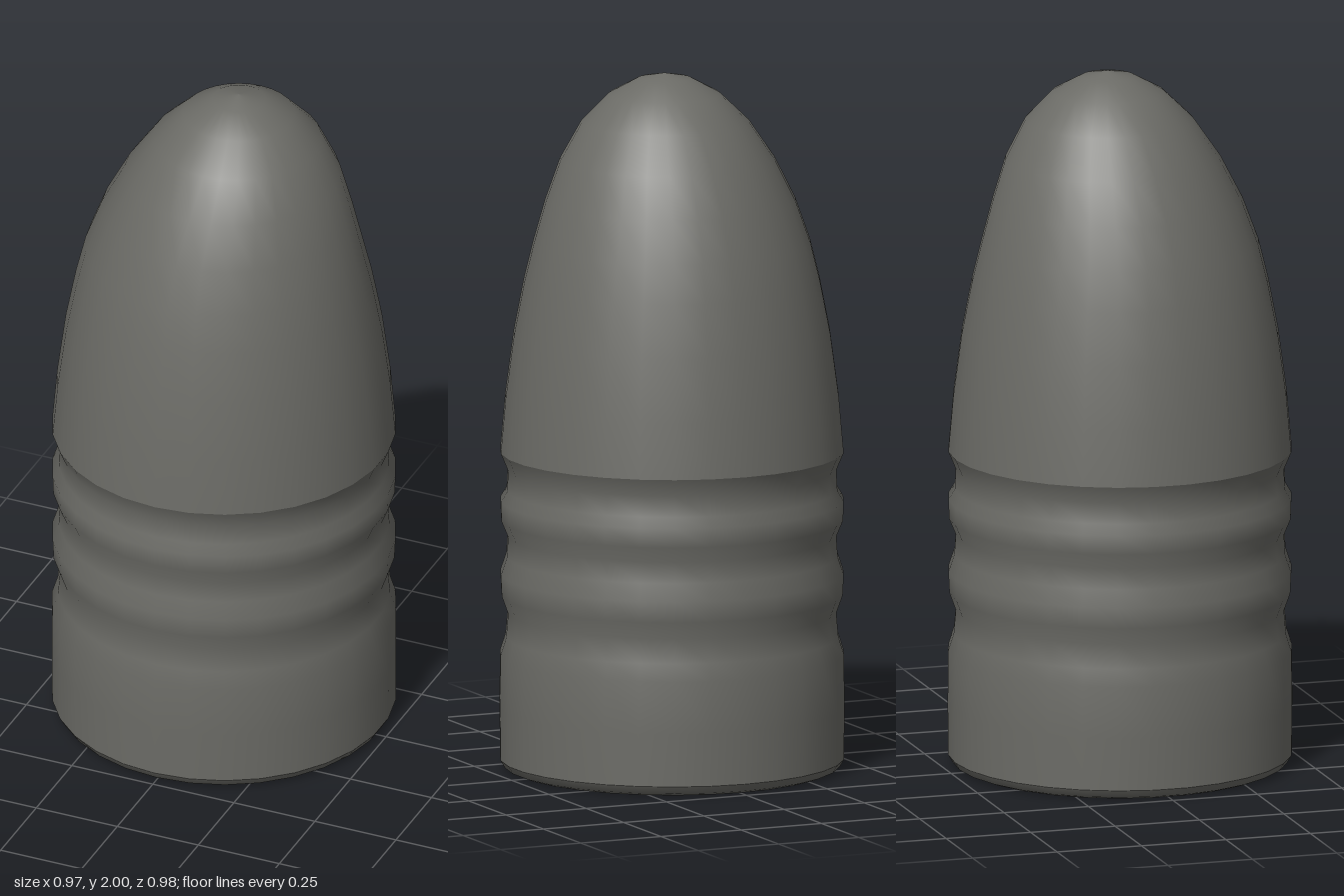
import * as THREE from 'three';

const SEGMENTS = 30;

export function createModel() {
  const lead = new THREE.MeshStandardMaterial({ color: 0x6b6b66 });
  lead.name = 'dull lead grey';
  const model = new THREE.Group();
  model.name = 'groovedSlug';

  // Revolve a profile of [radius, height] pairs; the tip leans slightly off axis
  function addLathe(name, profile) {
    const geometry = new THREE.LatheGeometry(
      profile.map(([r, y]) => new THREE.Vector2(r, y)), SEGMENTS);
    const p = geometry.attributes.position;
    for (let i = 0; i < p.count; i++) {
      const lean = THREE.MathUtils.smoothstep(p.getY(i), 1.5, 1.95);
      p.setX(i, p.getX(i) + 0.035 * lean);
      p.setZ(i, p.getZ(i) - 0.025 * lean);
    }
    const mesh = new THREE.Mesh(geometry, lead);
    mesh.name = name;
    model.add(mesh);
  }

  // Shallow conical hollow in the base
  addLathe('baseHollowFloor', [[0, 0.09], [0.17, 0.08], [0.33, 0.06]]);
  addLathe('baseHollowWall', [[0.33, 0.06], [0.345, 0.03], [0.365, 0.005]]);

  // Flat rim with a rounded outer edge
  addLathe('baseRim', [[0.365, 0.005], [0.4, 0], [0.455, 0], [0.475, 0.008], [0.488, 0.03]]);

  // Skirt and three soft grease grooves
  addLathe('groovedBand', [
    [0.488, 0.03], [0.489, 0.18], [0.488, 0.33], [0.472, 0.38], [0.466, 0.45],
    [0.484, 0.5], [0.487, 0.56], [0.47, 0.61], [0.466, 0.67], [0.485, 0.715],
    [0.487, 0.77], [0.469, 0.8], [0.466, 0.86], [0.487, 0.91],
  ]);

  // Ogive nose
  addLathe('nose', [
    [0.487, 0.91], [0.473, 1.07], [0.449, 1.25], [0.42, 1.4], [0.393, 1.51],
    [0.355, 1.63], [0.305, 1.75], [0.238, 1.86], [0.158, 1.94], [0.075, 1.985], [0, 2],
  ]);

  return model;
}
